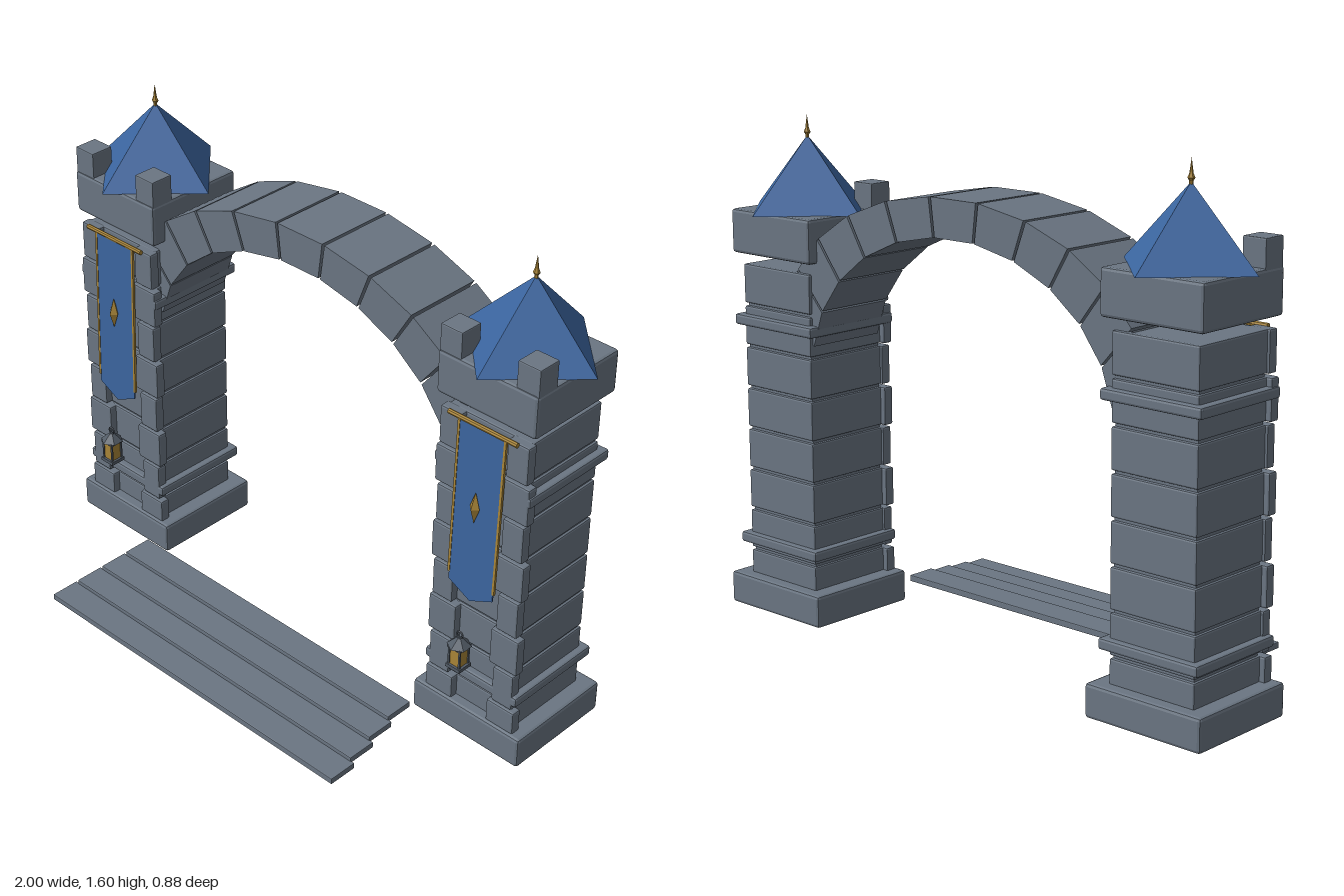
import * as THREE from 'three';
import { RoundedBoxGeometry } from 'three/addons/geometries/RoundedBoxGeometry.js';

const paint = (name, color, extra = {}) => {
  const m = new THREE.MeshStandardMaterial({ color, ...extra });
  m.name = name;
  return m;
};

export function createModel() {
  const stone = paint('grey stone', 0x6b7683, { flatShading: true });
  const blue = paint('blue cloth and slate', 0x3b659f, { flatShading: true });
  const gold = paint('aged gold', 0xa98538, { flatShading: true });
  const iron = paint('dark iron', 0x525b66, { flatShading: true });

  const model = new THREE.Group();
  model.name = 'archGate';

  const add = (parent, name, geometry, material, x = 0, y = 0, z = 0) => {
    const mesh = new THREE.Mesh(geometry, material);
    mesh.name = name;
    mesh.position.set(x, y, z);
    parent.add(mesh);
    return mesh;
  };
  // Box given by its limits, with an optional small bevel
  const block = (parent, name, material, [x0, x1], [y0, y1], [z0, z1], bevel = 0) => {
    const size = [x1 - x0, y1 - y0, z1 - z0];
    const geometry = bevel ? new RoundedBoxGeometry(...size, 1, bevel) : new THREE.BoxGeometry(...size);
    return add(parent, name, geometry, material, (x0 + x1) / 2, (y0 + y1) / 2, (z0 + z1) / 2);
  };

  function buildLantern() {
    const lantern = new THREE.Group();
    lantern.name = 'lantern';
    block(lantern, 'lanternGlass', gold, [-0.019, 0.019], [0.012, 0.075], [-0.019, 0.019]);
    block(lantern, 'lanternFloor', iron, [-0.027, 0.027], [0, 0.012], [-0.027, 0.027]);
    block(lantern, 'lanternRim', iron, [-0.025, 0.025], [0.073, 0.082], [-0.025, 0.025]);
    for (const sx of [-1, 1]) for (const sz of [-1, 1])
      add(lantern, 'lanternPost', new THREE.BoxGeometry(0.006, 0.07, 0.006), iron, sx * 0.02, 0.04, sz * 0.02);
    add(lantern, 'lanternRoof', new THREE.CylinderGeometry(0.008, 0.038, 0.027, 6), iron, 0, 0.094, 0);
    add(lantern, 'lanternRing', new THREE.TorusGeometry(0.011, 0.003, 5, 10), iron, 0, 0.118, 0);
    return lantern;
  }

  function buildBanner() {
    const banner = new THREE.Group();
    banner.name = 'banner';
    const cloth = new THREE.Shape();
    cloth.moveTo(-0.083, 0);
    cloth.lineTo(-0.083, -0.555);
    cloth.lineTo(0, -0.595);
    cloth.lineTo(0.083, -0.555);
    cloth.lineTo(0.083, 0);
    add(banner, 'bannerCloth', new THREE.ExtrudeGeometry(cloth, { depth: 0.005, bevelEnabled: false }), blue);
    for (const s of [-1, 1])
      add(banner, 'bannerTrim', new THREE.BoxGeometry(0.008, 0.53, 0.008), gold, s * 0.084, -0.265, 0.0025);
    const rod = add(banner, 'bannerRod', new THREE.CylinderGeometry(0.008, 0.008, 0.25, 8), gold, 0, 0.003, 0.0025);
    rod.rotation.z = Math.PI / 2;
    const emblem = add(banner, 'bannerDiamond', new THREE.OctahedronGeometry(1), gold, 0, -0.262, 0.012);
    emblem.scale.set(0.018, 0.053, 0.018);
    banner.position.set(0, 1.127, -0.012);
    banner.rotation.x = -0.025;
    return banner;
  }

  function buildTower() {
    const tower = new THREE.Group();
    tower.name = 'tower';
    const wide = [-0.178, 0.178], deep = [-0.37, -0.015];
    block(tower, 'plinth', stone, [-0.208, 0.208], [0.005, 0.11], [-0.39, -0.002], 0.01);
    block(tower, 'core', stone, [-0.145, 0.145], [0.1, 1.12], [-0.338, -0.05]);

    // Courses of masonry with alternating corner stones on the front
    for (let i = 0; i < 8; i++) {
      const y = [0.06 + i * 0.135, 0.186 + i * 0.135];
      if (i === 0) y[0] = 0.105;
      block(tower, 'course', stone, [-0.153, 0.153], y, [-0.348, -0.04], 0.006);
      const [inner, outer] = i % 2 ? [0.085, 0.162] : [0.068, 0.172];
      block(tower, 'cornerStone', stone, [-outer, -inner], y, [-0.05, -0.015], 0.006);
      block(tower, 'cornerStone', stone, [inner, outer], y, [-0.05, -0.015], 0.006);
    }
    block(tower, 'lowerBand', stone, wide, [0.212, 0.247], deep, 0.008);
    block(tower, 'upperBand', stone, wide, [0.935, 0.97], deep, 0.008);

    // Cap, battlements and roof
    block(tower, 'cap', stone, [-0.18, 0.18], [1.167, 1.307], deep, 0.01);
    for (const s of [-1, 1])
      add(tower, 'merlon', new RoundedBoxGeometry(0.08, 0.105, 0.08, 1, 0.004), stone, s * 0.138, 1.338, -0.06);
    add(tower, 'roof', new THREE.ConeGeometry(0.234, 0.232, 4), blue, 0, 1.422, -0.203);
    const spike = [[0.001, 0], [0.006, 0], [0.006, 0.012], [0.011, 0.02], [0.006, 0.032], [0, 0.075]]
      .map(([r, y]) => new THREE.Vector2(r, y));
    add(tower, 'finial', new THREE.LatheGeometry(spike, 6), gold, 0, 1.528, -0.203);

    tower.add(buildBanner());
    const lantern = buildLantern();
    lantern.position.set(0, 0.308, 0.042);
    tower.add(lantern);
    return tower;
  }

  for (const s of [-1, 1]) {
    const tower = buildTower();
    tower.name = s > 0 ? 'leftTower' : 'rightTower';
    tower.position.x = s * 0.765;
    model.add(tower);
  }

  // Arch of wedge stones between an inner and an outer ellipse
  const arch = new THREE.Group();
  arch.name = 'arch';
  const outer = (a) => new THREE.Vector2(0.73 * Math.sin(a), 0.959 + 0.47 * Math.cos(a));
  const inner = (a) => new THREE.Vector2(0.613 * Math.sin(a), 0.84 + 0.47 * Math.cos(a));
  const rad = THREE.MathUtils.degToRad;
  for (let i = -5; i <= 5; i++) {
    const a = rad(i * 15 - 7.1), b = rad(i * 15 + 7.1);
    const wedge = new THREE.Shape([inner(a), inner(b), outer(b), outer(a)]);
    const geometry = new THREE.ExtrudeGeometry(wedge, { depth: 0.273, bevelEnabled: false });
    add(arch, i === 0 ? 'keystone' : 'archStone', geometry, stone, 0, 0, -0.337);
  }
  model.add(arch);

  // Shallow steps in front
  [0.593, 0.605, 0.618, 0.631].forEach((half, i) => {
    const y = 0.05 - i * 0.0135, z = 0.052 + i * 0.096;
    block(model, 'step', stone, [-half, half], [y, y + 0.021], [z, z + 0.1], 0.003);
  });

  return model;
}
